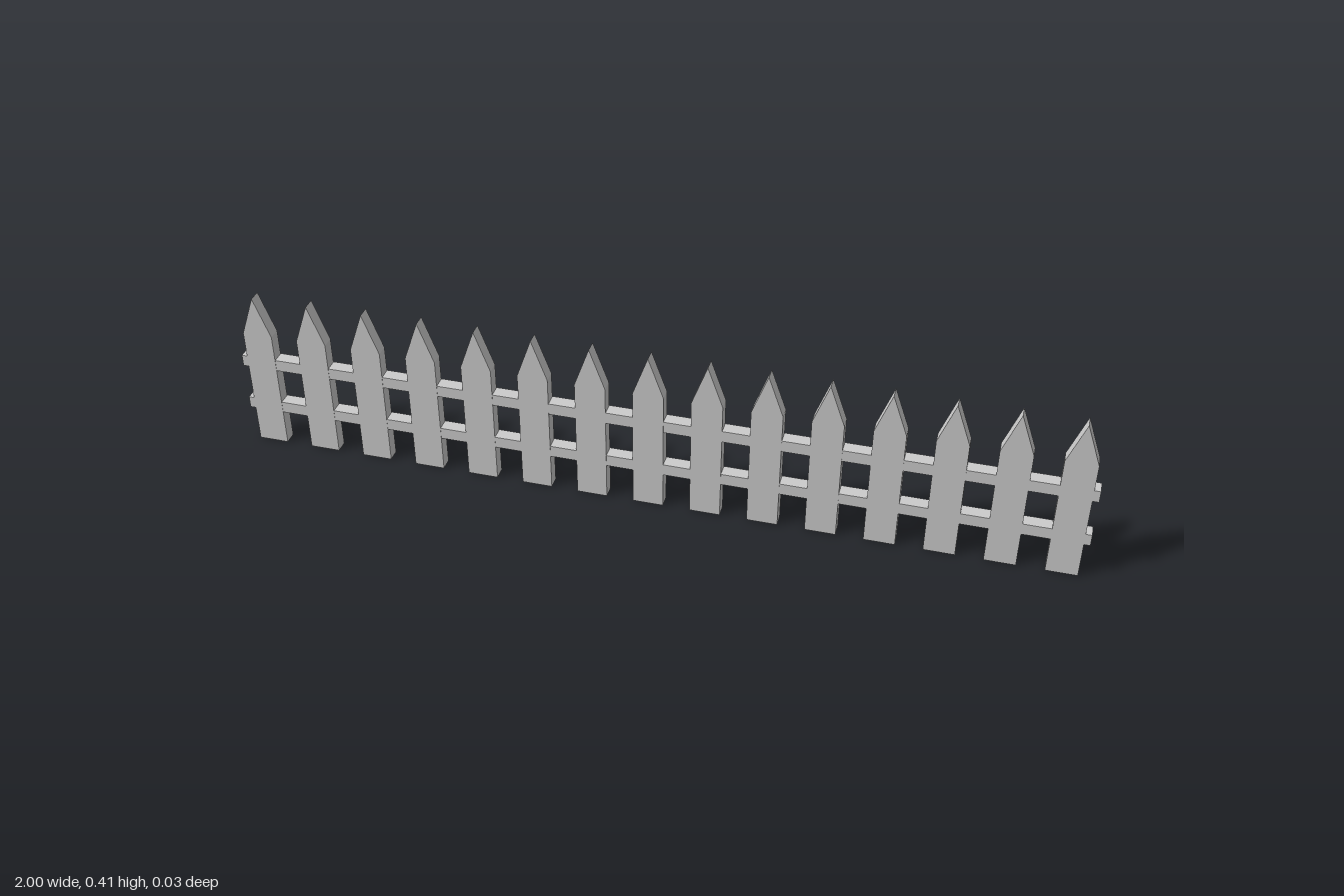
import * as THREE from 'three';

export function createModel() {
  const fence = new THREE.Group();
  fence.name = 'picketFence';
  const material = new THREE.MeshStandardMaterial({ color: 0xcccccc, flatShading: true });
  const add = (geometry, name, x, y, z) => {
    const mesh = new THREE.Mesh(geometry, material);
    mesh.name = name;
    mesh.position.set(x, y, z);
    fence.add(mesh);
    return mesh;
  };

  const count = 15, spacing = 1.9 / (count - 1);
  const railHeights = [0.104, 0.225];

  // Pointed picket board
  const w = 0.036;
  const outline = new THREE.Shape([
    [-w, 0], [w, 0], [w, 0.305], [0, 0.405], [-w, 0.305],
  ].map(([x, y]) => new THREE.Vector2(x, y)));
  const picketGeometry = new THREE.ExtrudeGeometry(outline, { depth: 0.031, bevelEnabled: false });

  // Small round nail head, facing the back
  const nailGeometry = new THREE.CylinderGeometry(0.003, 0.003, 0.003, 6).rotateX(Math.PI / 2);

  for (let i = 0; i < count; i++) {
    const x = -0.95 + i * spacing;
    add(picketGeometry, 'picket', x, 0, -0.015);
    // Two nails at each crossing
    for (const y of railHeights) {
      for (const side of [-1, 1]) add(nailGeometry, 'nail', x + side * 0.018, y + side * 0.004, -0.0165);
    }
  }

  // Horizontal rails, let into the pickets and slightly proud at the back
  const railGeometry = new THREE.BoxGeometry(2, 0.029, 0.0315);
  for (const y of railHeights) add(railGeometry, 'rail', 0, y, -0.0005);

  return fence;
}
